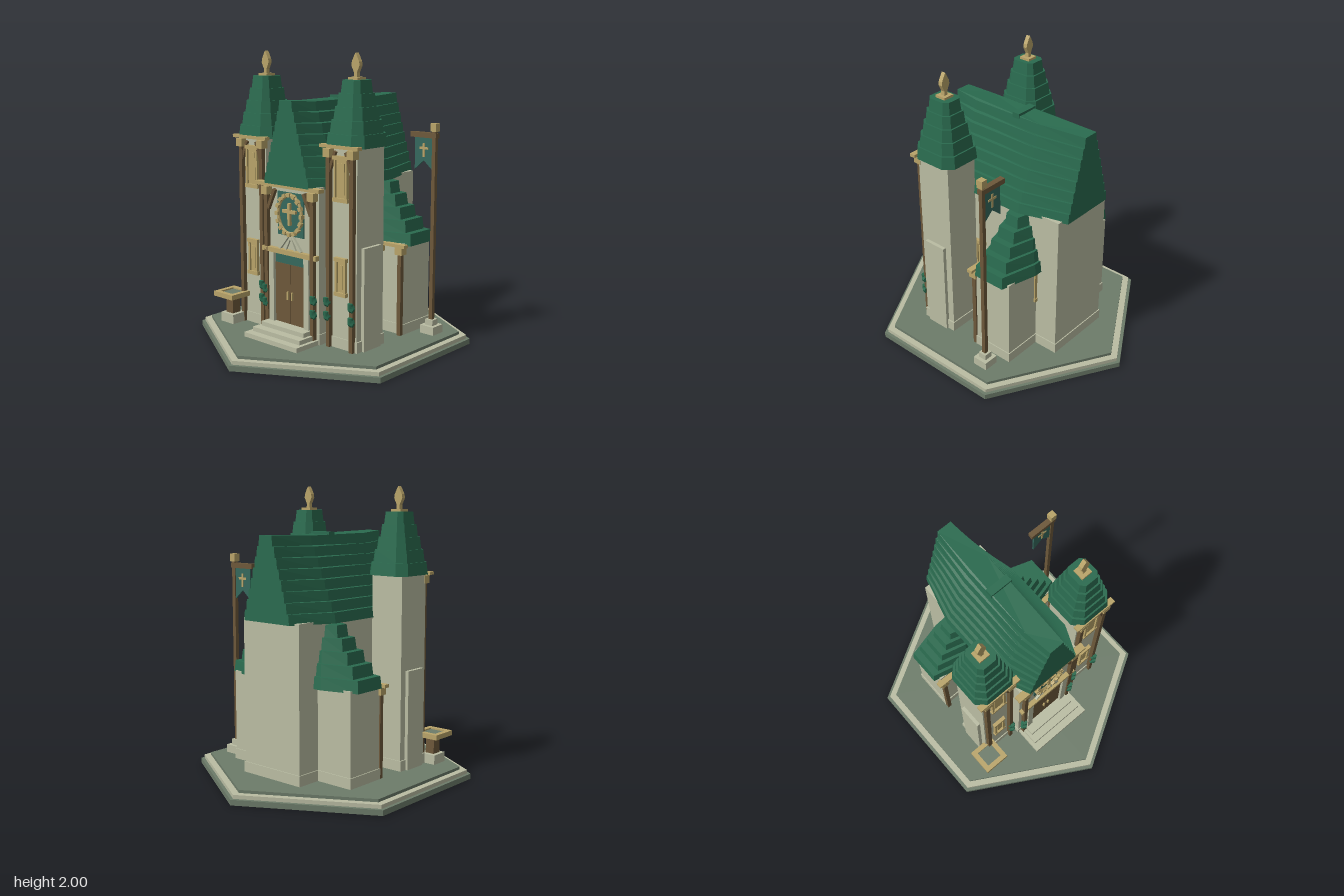
import * as THREE from 'three';

const mat = (name, color) => {
  const m = new THREE.MeshStandardMaterial({ color });
  m.name = name;
  return m;
};

export function createModel() {
  const root = new THREE.Group();
  root.name = 'chapel';
  const stone = mat('pale stone', 0xbabda3), ground = mat('grey green paving', 0x6d7c6a);
  const green = mat('roof green', 0x2a6b4f), teal = mat('teal cloth', 0x35685d);
  const gold = mat('old gold', 0xb9a469), wood = mat('brown timber', 0x6d583a);

  const add = (name, geo, m, x = 0, y = 0, z = 0, parent = root) => {
    const mesh = new THREE.Mesh(geo, m);
    mesh.name = name;
    mesh.position.set(x, y, z);
    parent.add(mesh);
    return mesh;
  };
  // Box given by its extents along each axis
  const box = (name, m, x0, x1, y0, y1, z0, z1, parent = root) =>
    add(name, new THREE.BoxGeometry(Math.abs(x1 - x0), y1 - y0, Math.abs(z1 - z0)), m,
      (x0 + x1) / 2, (y0 + y1) / 2, (z0 + z1) / 2, parent);
  // Timber running between two points in a plane of constant z
  const strut = (name, m, x0, y0, x1, y1, z, w) => {
    const s = add(name, new THREE.BoxGeometry(w, Math.hypot(x1 - x0, y1 - y0), w), m, (x0 + x1) / 2, (y0 + y1) / 2, z);
    s.rotation.z = Math.atan2(x0 - x1, y1 - y0);
    return s;
  };
  // Plate cut from an outline in the xy plane
  const plate = (name, m, pts, depth, x, y, z) => add(name, new THREE.ExtrudeGeometry(
    new THREE.Shape(pts.map(p => new THREE.Vector2(...p))), { depth, bevelEnabled: false }), m, x, y, z);

  // Eight-sided roof course: half sizes, corner cuts (front and back), taper and end lift
  const course = (hx, hz, cx, cf, cb, h, taper, lift = 0) => {
    const pts = [[hx - cx, -hz], [hx, -hz + cf], [hx, hz - cb], [hx - cx, hz],
      [cx - hx, hz], [-hx, hz - cb], [-hx, -hz + cf], [cx - hx, -hz]];
    const g = new THREE.ExtrudeGeometry(new THREE.Shape(pts.map(p => new THREE.Vector2(...p))),
      { depth: h, bevelEnabled: false });
    g.rotateX(-Math.PI / 2);
    const p = g.attributes.position;
    for (let i = 0; i < p.count; i++) {
      const x = p.getX(i), y = p.getY(i), z = p.getZ(i);
      if (Math.abs(z) > hz - 0.001) p.setY(i, y + lift);
      if (y > h / 2) p.setX(i, x * (1 - taper / hx)), p.setZ(i, lift ? z : z * (1 - taper / hz));
    }
    g.computeVertexNormals();
    return g;
  };
  const mix = THREE.MathUtils.lerp;

  // Hexagonal terrace
  [[0.975, 0, 0.037, ground], [0.95, 0.037, 0.063, stone], [0.9, 0.063, 0.083, ground]].forEach(([r, y0, y1, m]) =>
    add('terrace', new THREE.CylinderGeometry(r, r, y1 - y0, 6).toNonIndexed(), m, 0, (y0 + y1) / 2, 0));
  root.children.forEach(c => c.geometry.computeVertexNormals());

  // Post with a gold capital
  const post = (x, z, top) => {
    box('post', wood, x - 0.015, x + 0.015, 0.08, top - 0.05, z - 0.015, z + 0.015);
    box('capital', gold, x - 0.028, x + 0.028, top - 0.055, top, z - 0.028, z + 0.028);
  };
  // Climbing leaves around a post
  const leaves = (x, z) => [0.29, 0.385].forEach(y => {
    const g = new THREE.CylinderGeometry(0.018, 0.018, 0.03, 6);
    add('leafCluster', new THREE.DodecahedronGeometry(0.032), green, x, y, z).scale.set(0.85, 1, 0.7);
    add('leafBud', g, green, x, y + 0.02, z + 0.01);
  });
  // Gold framed window facing +z, centred on its own group
  const windowFrame = (x, y, z, w, h, turn = 0) => {
    const g = new THREE.Group();
    g.name = 'window';
    g.position.set(x, y, z);
    g.rotation.y = turn;
    root.add(g);
    box('windowPanel', gold, -w / 2 + 0.01, w / 2 - 0.01, -h / 2, h / 2, 0, 0.01, g);
    [-1, 1].forEach(s => {
      box('windowJamb', gold, s * (w / 2 - 0.006), s * (w / 2 - 0.022), -h / 2, h / 2, 0, 0.022, g);
      box('windowRail', gold, -w / 2, w / 2, s * h / 2 - 0.013, s * h / 2 + 0.013, 0, 0.026, g);
    });
    box('windowInset', gold, -w / 2 + 0.032, w / 2 - 0.032, -h / 2 + 0.035, h / 2 - 0.035, 0.01, 0.016, g);
  };

  // Nave
  box('naveWall', stone, -0.25, 0.25, 0.08, 1.14, -0.6, 0.4);
  box('navePlinth', stone, -0.257, 0.257, 0.08, 0.155, -0.607, 0.405);
  for (let i = 0; i < 8; i++) {
    const w = mix(0.295, 0.09, i / 7);
    add('naveRoofCourse', course(w, 0.545, w * 0.31, 0.2, 0.34, 0.07, 0.01, 0.012), green, 0, 1.118 + i * 0.07, -0.095);
  }
  box('ridgeCap', green, -0.083, 0.083, 1.66, 1.697, -0.125, -0.07);
  [0.07, -0.11, -0.395].forEach(z => windowFrame(0.25, 0.585, z, 0.09, 0.25, Math.PI / 2));

  // Transept with one stepped roof across the nave
  box('transeptWall', stone, -0.53, 0.53, 0.08, 0.72, -0.425, -0.135);
  box('transeptPlinth', stone, -0.537, 0.537, 0.08, 0.155, -0.432, -0.128);
  for (let i = 0; i < 5; i++) {
    const t = i / 4, hx = mix(0.57, 0.34, t), hz = mix(0.187, 0.085, t);
    const g = course(hx, hz, mix(0.26, 0.1, t), hz * 0.36, hz * 0.36, 0.082, 0.01);
    add('transeptRoofCourse', g, green, 0, 0.705 + i * 0.081, -0.28);
  }

  // Towers, buttresses and transept fronts, mirrored left and right
  [-1, 1].forEach(s => {
    const cx = s * 0.41;
    box('towerWall', stone, cx - 0.125, cx + 0.125, 0.08, 1.42, 0.09, 0.355);
    box('towerPlinth', stone, cx - 0.135, cx + 0.135, 0.08, 0.155, 0.083, 0.362);
    box('buttress', stone, s * 0.52, s * 0.56, 0.08, 0.77, 0.14, 0.31);
    for (let i = 0; i < 5; i++) {
      const t = i / 4, hx = mix(0.162, 0.083, t), hz = mix(0.174, 0.094, t);
      add('towerRoofCourse', course(hx, hz, hx * 0.36, hz * 0.36, hz * 0.36, 0.085, 0.009), green, cx, 1.41 + i * 0.084, 0.217);
    }
    box('finialBase', gold, cx - 0.04, cx + 0.04, 1.825, 1.847, 0.177, 0.257);
    plate('finial', gold, [[-0.014, 0], [0.014, 0], [0.012, 0.03], [0.034, 0.075], [0.03, 0.1], [0.012, 0.135], [0, 0.155],
      [-0.012, 0.135], [-0.03, 0.1], [-0.034, 0.075], [-0.012, 0.03]], 0.03, cx, 1.845, 0.202);
    box('towerBeam', gold, cx - 0.162, cx + 0.162, 1.405, 1.427, 0.355, 0.397);
    [-1, 1].forEach(k => {
      post(cx + k * 0.1, 0.37, 1.4);
      strut('towerBrace', wood, cx + k * 0.095, 1.25, cx + k * 0.045, 1.385, 0.37, 0.02);
      post(s * 0.43 + k * 0.09, -0.115, 0.705);
    });
    leaves(s * 0.305, 0.385);
    leaves(s * 0.225, 0.43);
    leaves(s * 0.34, -0.1);
    windowFrame(cx, 1.21, 0.355, 0.125, 0.27);
    windowFrame(cx, 0.57, 0.355, 0.1, 0.23);
    box('transeptBeam', gold, s * 0.295, s * 0.57, 0.7, 0.722, -0.13, -0.088);

    // Entrance side pieces
    post(s * 0.213, 0.42, 1.105);
    strut('gableBrace', wood, s * 0.2, 0.95, s * 0.135, 1.09, 0.42, 0.024);
    box('doorJamb', stone, s * 0.14, s * 0.185, 0.155, 0.665, 0.4, 0.435);
    box('doorLeaf', wood, s * 0.002, s * 0.14, 0.175, 0.59, 0.4, 0.415);
    box('doorHandle', gold, s * 0.014, s * 0.026, 0.345, 0.4, 0.415, 0.427);
    strut('pedimentRafter', stone, s * 0.1, 0.69, 0, 0.81, 0.412, 0.018);
    strut('pedimentStrut', stone, s * 0.045, 0.69, 0, 0.78, 0.41, 0.014);
  });
  leaves(0.515, 0.385);

  // Entrance
  box('gableBeam', gold, -0.295, 0.295, 1.112, 1.137, 0.4, 0.45);
  box('doorTransom', teal, -0.14, 0.14, 0.59, 0.655, 0.4, 0.412);
  box('doorLintel', gold, -0.25, 0.25, 0.657, 0.69, 0.4, 0.435);
  [[0.2, 0.175, 0.5], [0.222, 0.145, 0.56], [0.248, 0.115, 0.615]].forEach(([w, y, z]) =>
    box('entranceStep', stone, -w, w, 0.08, y, 0.38, z));

  // Round emblem above the door
  box('emblemPanel', teal, -0.12, 0.12, 0.785, 1.08, 0.4, 0.409);
  const ring = add('emblemRing', new THREE.TorusGeometry(0.108, 0.012, 6, 24), gold, 0, 0.932, 0.415);
  ring.scale.y = 1.22;
  for (let i = 0; i < 16; i++) {
    const a = i * Math.PI / 8;
    add('emblemBead', new THREE.BoxGeometry(0.026, 0.026, 0.03), gold,
      0.111 * Math.cos(a), 0.932 + 0.134 * Math.sin(a), 0.42).rotation.z = a;
  }
  const cross = (x, y, z, w, h, t, d) => {
    box('crossUpright', gold, x - t, x + t, y - h, y + h, z, z + d);
    box('crossArm', gold, x - w, x + w, y + h * 0.1, y + h * 0.1 + 2 * t, z, z + d);
  };
  cross(0, 0.935, 0.409, 0.06, 0.075, 0.011, 0.02);

  // Stone-footed basin by the left-hand corner
  box('basinFoot', stone, -0.625, -0.5, 0.08, 0.15, 0.365, 0.49);
  box('basinStem', wood, -0.598, -0.53, 0.15, 0.275, 0.395, 0.465);
  box('basinBed', ground, -0.64, -0.485, 0.272, 0.295, 0.35, 0.51);
  [[-0.66, -0.625, 0.335, 0.525], [-0.505, -0.47, 0.335, 0.525], [-0.625, -0.505, 0.335, 0.37], [-0.625, -0.505, 0.49, 0.525]]
    .forEach(([a, b, c, d]) => box('basinRim', gold, a, b, 0.27, 0.305, c, d));

  // Banner pole
  const px = 0.645, pz = -0.31;
  box('poleFoot', stone, px - 0.055, px + 0.055, 0.08, 0.14, pz - 0.055, pz + 0.055);
  box('poleSocket', stone, px - 0.03, px + 0.03, 0.14, 0.18, pz - 0.03, pz + 0.03);
  box('pole', wood, px - 0.014, px + 0.014, 0.18, 1.48, pz - 0.014, pz + 0.014);
  box('poleCap', gold, px - 0.023, px + 0.023, 1.475, 1.53, pz - 0.023, pz + 0.023);
  box('poleArm', wood, 0.455, 0.665, 1.43, 1.465, pz - 0.02, pz + 0.02);
  plate('banner', teal, [[0.485, 1.21], [0.56, 1.275], [0.635, 1.21], [0.635, 1.43], [0.485, 1.43]], 0.012, 0, 0, pz - 0.006);
  cross(0.56, 1.345, pz - 0.01, 0.036, 0.048, 0.008, 0.02);

  return root;
}
